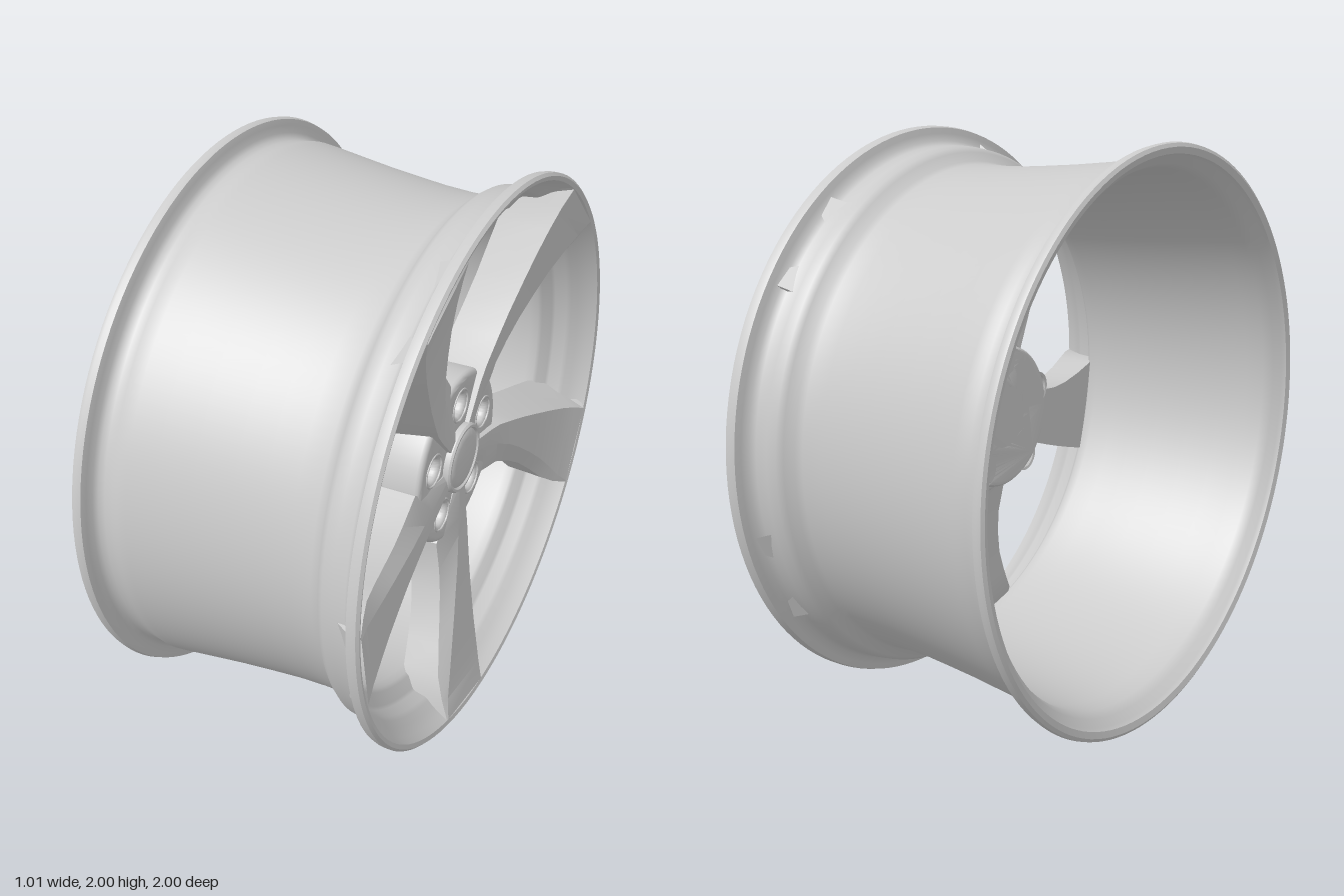
import * as THREE from 'three';
import { toCreasedNormals } from 'three/addons/utils/BufferGeometryUtils.js';

const material = new THREE.MeshStandardMaterial({ color: 0xcccccc });

function part(name, geometry, crease = 0.6) {
  const mesh = new THREE.Mesh(toCreasedNormals(geometry, crease), material);
  mesh.name = name;
  return mesh;
}

// Revolves [radius, depth] points around the wheel axis (local z)
function revolve(points, segments) {
  const profile = points.map(([r, w]) => new THREE.Vector2(r, w));
  return new THREE.LatheGeometry(profile, segments).rotateX(Math.PI / 2);
}

// Twisted spoke pointing up: five-sided cross-sections set on growing radii
function spokeGeometry() {
  // radius, swept edge, ridge, straight edge, straight edge at back, depth front, depth swept edge, depth back
  const stations = [
    [0.11, 0.03, 0.01, -0.03, -0.04, 0.38, 0.37, 0.22],
    [0.25, 0.085, 0.015, -0.045, -0.06, 0.385, 0.362, 0.21],
    [0.32, 0.135, 0.025, -0.05, -0.078, 0.39, 0.355, 0.23],
    [0.43, 0.125, 0.05, -0.045, -0.085, 0.402, 0.365, 0.25],
    [0.52, 0.14, 0.08, -0.04, -0.088, 0.413, 0.378, 0.265],
    [0.62, 0.17, 0.12, -0.033, -0.09, 0.428, 0.393, 0.28],
    [0.72, 0.214, 0.165, -0.026, -0.09, 0.444, 0.413, 0.29],
    [0.82, 0.264, 0.218, -0.018, -0.088, 0.463, 0.438, 0.3],
    [0.9, 0.292, 0.265, -0.008, -0.082, 0.48, 0.468, 0.335],
    [0.972, 0.306, 0.3, 0.005, -0.06, 0.5, 0.497, 0.465],
  ];
  const positions = [];
  const index = [];
  stations.forEach(([r, swept, ridge, edge, back, wFront, wSwept, wBack], i) => {
    const section = [[swept, wSwept], [ridge, wFront], [edge, wFront], [back, wBack], [swept * 0.98, wBack]];
    section.forEach(([a, w], j) => {
      positions.push(a, Math.sqrt(r * r - a * a), w);
      if (i === 0) return;
      const k = (j + 1) % 5;
      const A = (i - 1) * 5 + j, B = (i - 1) * 5 + k, C = i * 5 + k, D = i * 5 + j;
      index.push(A, D, B, B, D, C);
    });
  });
  const geometry = new THREE.BufferGeometry();
  geometry.setAttribute('position', new THREE.Float32BufferAttribute(positions, 3));
  geometry.setIndex(index);
  return geometry;
}

// Round-edged disc with a centre bore and five bolt holes
function hubDisc(radius, wBack, wFront, boltCentres) {
  const bevel = 0.018;
  const shape = new THREE.Shape().absarc(0, 0, radius - bevel, 0, Math.PI * 2);
  const addHole = (x, y, r) => shape.holes.push(new THREE.Path().absarc(x, y, r, 0, Math.PI * 2, true));
  addHole(0, 0, 0.11);
  boltCentres.forEach(([x, y]) => addHole(x, y, 0.06));
  return new THREE.ExtrudeGeometry(shape, {
    depth: wFront - wBack - 2 * bevel, bevelThickness: bevel, bevelSize: bevel, bevelSegments: 3, curveSegments: 32,
  }).translate(0, 0, wBack + bevel);
}

export function createModel() {
  const model = new THREE.Group();
  model.name = 'wheelRim';
  const wheel = new THREE.Group();
  wheel.name = 'wheel';
  wheel.rotation.y = Math.PI / 2;
  wheel.position.y = 1;
  model.add(wheel);

  // Barrel: outside from back to front, sloping front lip and ledge, thin wall inside
  wheel.add(part('barrel', revolve([
    [0.963, -0.503], [0.985, -0.51], [0.997, -0.503], [1, -0.49], [0.995, -0.473], [0.975, -0.466],
    [0.95, -0.461], [0.935, -0.45], [0.929, -0.43], [0.931, -0.4], [0.936, -0.38], [0.933, -0.35],
    [0.92, -0.25], [0.905, -0.13], [0.892, 0], [0.883, 0.1], [0.879, 0.2], [0.88, 0.28],
    [0.888, 0.305], [0.918, 0.325], [0.932, 0.345], [0.937, 0.38], [0.937, 0.425], [0.95, 0.445],
    [0.975, 0.453], [0.996, 0.46], [1, 0.475], [1, 0.494], [0.99, 0.503], [0.975, 0.498],
    [0.962, 0.468], [0.94, 0.435], [0.922, 0.415], [0.912, 0.4], [0.904, 0.358], [0.895, 0.348],
    [0.855, 0.325], [0.846, 0.312], [0.845, 0.28], [0.853, 0.2], [0.86, 0.1], [0.87, 0],
    [0.884, -0.13], [0.898, -0.25], [0.91, -0.36], [0.914, -0.43], [0.93, -0.465], [0.955, -0.487],
    [0.963, -0.503],
  ], 128), 0.7));

  // Five spokes
  const spoke = spokeGeometry();
  for (let i = 0; i < 5; i++) {
    const mesh = part('spoke', spoke, 0.35);
    mesh.rotation.z = Math.PI / 5 + (i * Math.PI * 2) / 5;
    wheel.add(mesh);
  }

  // Hub face, smaller mounting pad behind it, and recessed bolts
  const boltCentres = Array.from({ length: 5 }, (_, i) => {
    const angle = Math.PI / 2 + (i * Math.PI * 2) / 5;
    return [0.208 * Math.cos(angle), 0.208 * Math.sin(angle)];
  });
  wheel.add(part('hubFace', hubDisc(0.31, 0.22, 0.365, boltCentres)));
  wheel.add(part('mountingPad', hubDisc(0.255, 0.125, 0.24, boltCentres), 0.4));
  const bolt = revolve([[0, 0.28], [0.043, 0.28], [0.043, 0.33], [0.038, 0.336], [0, 0.336]], 24);
  const seat = new THREE.TorusGeometry(0.058, 0.004, 8, 32);
  for (const [x, y] of boltCentres) {
    const head = part('bolt', bolt);
    head.position.set(x, y, 0);
    const ring = part('boltSeat', seat, 1);
    ring.position.set(x, y, 0.365);
    wheel.add(head, ring);
  }

  // Domed centre cap inside a raised ring
  wheel.add(part('centreCap', revolve([
    [0, 0.3], [0.125, 0.3], [0.125, 0.385], [0.12, 0.392], [0.112, 0.392], [0.107, 0.384],
    [0.103, 0.388], [0.08, 0.394], [0.04, 0.398], [0, 0.4],
  ], 64)));

  return model;
}
